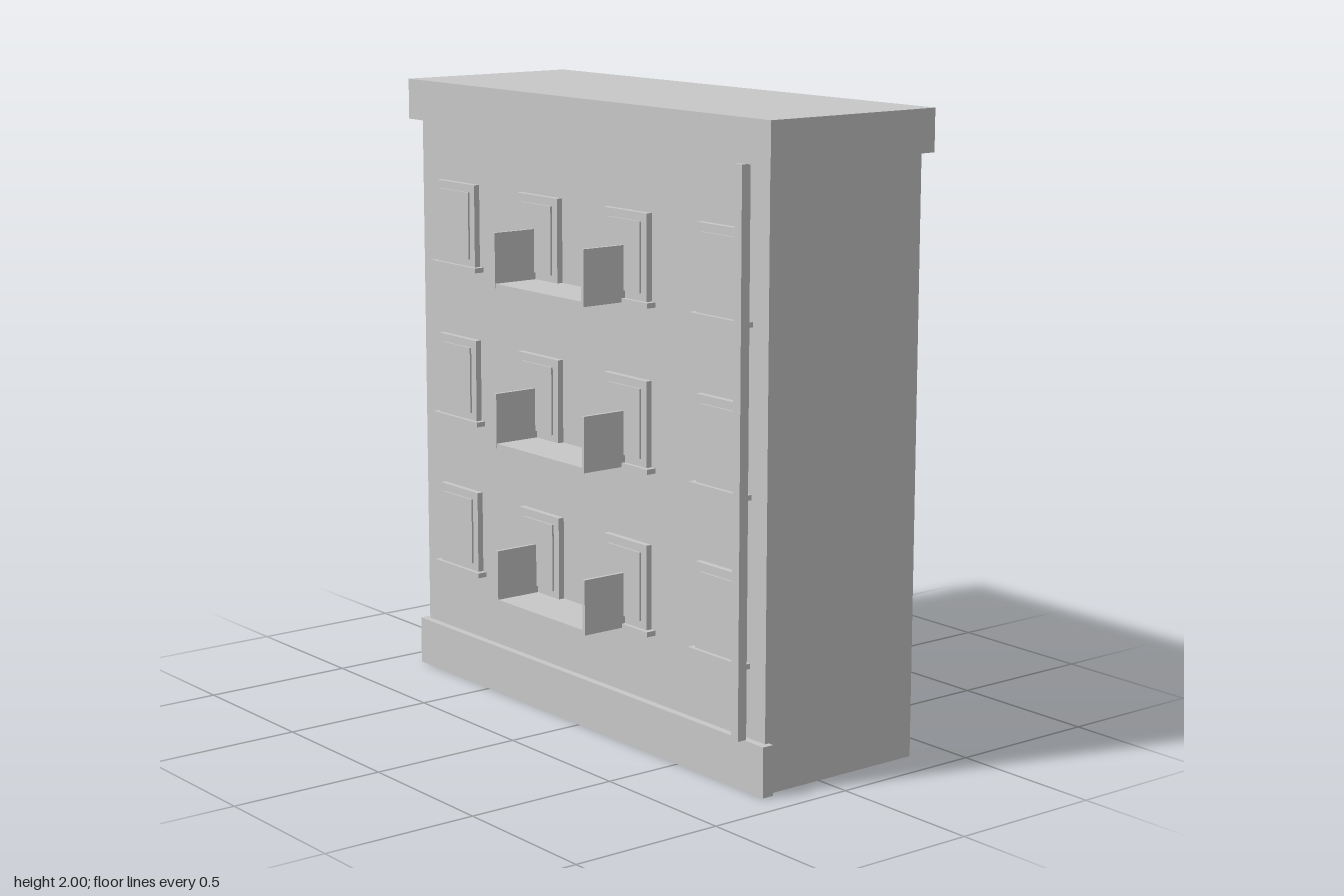
import * as THREE from 'three';

export function createModel() {
  const model = new THREE.Group();
  model.name = 'apartmentBuilding';
  const stone = new THREE.MeshStandardMaterial({ color: 0xc8c8c8 });
  stone.name = 'light grey stone';

  // Adds a box given by its extents along each axis
  function box(parent, name, [x0, x1], [y0, y1], [z0, z1]) {
    const mesh = new THREE.Mesh(new THREE.BoxGeometry(x1 - x0, y1 - y0, z1 - z0), stone);
    mesh.position.set((x0 + x1) / 2, (y0 + y1) / 2, (z0 + z1) / 2);
    mesh.name = name;
    parent.add(mesh);
  }

  const FRONT = 0.215; // plane of the facade

  // Main masses
  box(model, 'body', [-0.882, 0.882], [0, 1.87], [-0.374, FRONT]);
  box(model, 'plinth', [-0.902, 0.902], [0, 0.157], [0.2, 0.239]);
  box(model, 'cornice', [-0.918, 0.918], [1.868, 2], [-0.392, 0.245]);

  // Downpipe standing just off the facade
  box(model, 'downpipe', [0.784, 0.816], [0.157, 1.868], [0.232, 0.264]);

  // Window: surround, raised pane and sill
  function addWindow(parent, x) {
    const win = new THREE.Group();
    win.name = 'window';
    win.position.x = x;
    box(win, 'windowFrame', [-0.107, 0.107], [0.387, 0.656], [FRONT - 0.01, 0.235]);
    box(win, 'windowPane', [-0.08, 0.08], [0.412, 0.63], [0.23, 0.241]);
    box(win, 'windowSill', [-0.126, 0.126], [0.372, 0.388], [FRONT - 0.01, 0.248]);
    parent.add(win);
  }

  // Balcony: floor slab and two side panels, open at the front
  function addBalcony(parent) {
    const balcony = new THREE.Group();
    balcony.name = 'balcony';
    box(balcony, 'balconyFloor', [-0.235, 0.235], [0.375, 0.39], [FRONT - 0.01, 0.391]);
    for (const s of [-1, 1]) {
      const xs = [s * 0.224, s * 0.236].sort((a, b) => a - b);
      box(balcony, 'balconySide', xs, [0.375, 0.55], [FRONT - 0.01, 0.392]);
    }
    parent.add(balcony);
  }

  // Three identical storeys
  for (let i = 0; i < 3; i++) {
    const storey = new THREE.Group();
    storey.name = 'storey';
    storey.position.y = i * 0.511;
    for (let j = 0; j < 4; j++) addWindow(storey, -0.667 + j * 0.451);
    addBalcony(storey);
    model.add(storey);
  }
  return model;
}
